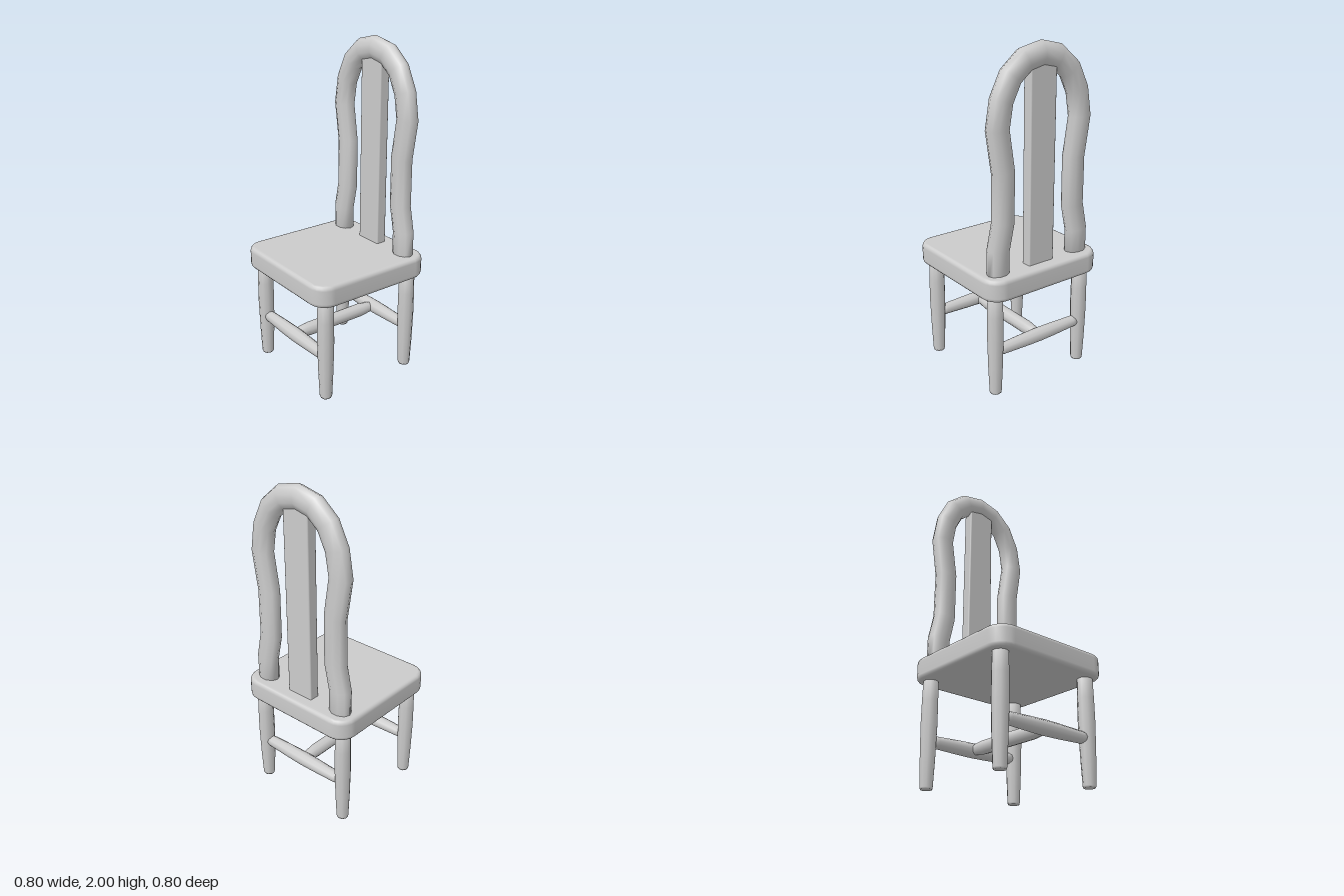
import * as THREE from 'three';
import { mergeVertices } from 'three/addons/utils/BufferGeometryUtils.js';
import { RoundedBoxGeometry } from 'three/addons/geometries/RoundedBoxGeometry.js';

const material = new THREE.MeshStandardMaterial({ color: 0xcccccc });
const SIDES = 10;

function part(name, geometry, parent) {
  const mesh = new THREE.Mesh(geometry, material);
  mesh.name = name;
  parent.add(mesh);
  return mesh;
}

// Turned piece along y from [radius, y] pairs, closed at both ends
function turned(profile) {
  const points = profile.map(([r, y]) => new THREE.Vector2(r, y));
  points.unshift(new THREE.Vector2(0, profile[0][1]));
  points.push(new THREE.Vector2(0, profile[profile.length - 1][1]));
  return new THREE.LatheGeometry(points, SIDES);
}

// Rounded square slab with softened rims
function seatGeometry() {
  const h = 0.38, r = 0.085, bevel = 0.025;
  const s = new THREE.Shape();
  s.absarc(h - r, h - r, r, 0, Math.PI / 2);
  s.absarc(r - h, h - r, r, Math.PI / 2, Math.PI);
  s.absarc(r - h, r - h, r, Math.PI, Math.PI * 1.5);
  s.absarc(h - r, r - h, r, Math.PI * 1.5, Math.PI * 2);
  const extruded = new THREE.ExtrudeGeometry(s, {
    depth: 0.13 - 2 * bevel, curveSegments: 3,
    bevelThickness: bevel, bevelSize: 0.02, bevelSegments: 3,
  });
  extruded.rotateX(-Math.PI / 2).translate(0, 0.617 + bevel, 0);
  extruded.deleteAttribute('normal');
  extruded.deleteAttribute('uv');
  const geometry = mergeVertices(extruded, 1e-4);
  geometry.computeVertexNormals();
  return geometry;
}

// Oval rail swept along a path in the xy plane, mitred at each bend
function sweptRail(path, halfWidth, halfDepth) {
  const positions = [], index = [];
  path.forEach((p, i) => {
    const before = path[Math.max(i - 1, 0)], after = path[Math.min(i + 1, path.length - 1)];
    const a = (i ? p.clone().sub(before) : after.clone().sub(p)).normalize();
    const b = (i < path.length - 1 ? after.clone().sub(p) : a.clone()).normalize();
    const t = a.clone().add(b).normalize();
    const width = halfWidth / t.dot(a);
    for (let k = 0; k < SIDES; k++) {
      const angle = (k / SIDES) * Math.PI * 2;
      const w = Math.cos(angle) * width;
      positions.push(p.x + t.y * w, p.y - t.x * w, Math.sin(angle) * halfDepth);
    }
  });
  for (let i = 0; i < path.length - 1; i++) {
    for (let k = 0; k < SIDES; k++) {
      const n = (k + 1) % SIDES;
      const a = i * SIDES + k, b = i * SIDES + n;
      const c = a + SIDES, d = b + SIDES;
      index.push(a, c, b, b, c, d);
    }
  }
  // Flat ends
  const last = (path.length - 1) * SIDES;
  for (let k = 1; k < SIDES - 1; k++) {
    index.push(0, k, k + 1, last, last + k + 1, last + k);
  }
  const geometry = new THREE.BufferGeometry();
  geometry.setAttribute('position', new THREE.Float32BufferAttribute(positions, 3));
  geometry.setIndex(index);
  geometry.computeVertexNormals();
  return geometry;
}

export function createModel() {
  const chair = new THREE.Group();
  chair.name = 'chair';

  part('seat', seatGeometry(), chair);

  // Four turned legs
  const legX = 0.317, legZ = 0.305;
  const leg = turned([[0.034, 0], [0.037, 0.01], [0.044, 0.17], [0.049, 0.36], [0.048, 0.5], [0.045, 0.64]]);
  for (const z of [legZ, -legZ]) {
    for (const x of [legX, -legX]) {
      part((z > 0 ? 'front' : 'back') + (x > 0 ? 'Left' : 'Right') + 'Leg', leg, chair).position.set(x, 0, z);
    }
  }

  // Front and back stretchers joined by a middle one
  const crossBar = turned([[0.031, -0.3], [0.035, -0.26], [0.041, -0.1], [0.043, 0], [0.041, 0.1], [0.035, 0.26], [0.031, 0.3]]);
  for (const z of [legZ, -legZ]) {
    const bar = part(z > 0 ? 'frontStretcher' : 'backStretcher', crossBar, chair);
    bar.rotation.z = Math.PI / 2;
    bar.position.set(0, 0.27, z);
  }
  const middle = part('middleStretcher',
    turned([[0.026, -0.31], [0.034, -0.26], [0.041, -0.2], [0.041, 0.2], [0.034, 0.26], [0.026, 0.31]]), chair);
  middle.rotation.x = Math.PI / 2;
  middle.position.y = 0.27;

  // Bent hoop of the backrest, mirrored about the crown
  const half = [[0.285, 0.7], [0.285, 0.885], [0.252, 1.04], [0.251, 1.33], [0.287, 1.56],
    [0.262, 1.71], [0.202, 1.83], [0.112, 1.905]];
  const path = [
    ...half.map(([x, y]) => new THREE.Vector2(x, y)),
    new THREE.Vector2(0, 1.93),
    ...half.slice().reverse().map(([x, y]) => new THREE.Vector2(-x, y)),
  ];
  const backZ = -0.292;
  part('backHoop', sweptRail(path, 0.07, 0.053), chair).position.z = backZ;

  // Upright splat
  part('backSplat', new RoundedBoxGeometry(0.177, 1.2, 0.065, 2, 0.008), chair).position.set(0, 1.31, backZ);

  return chair;
}
